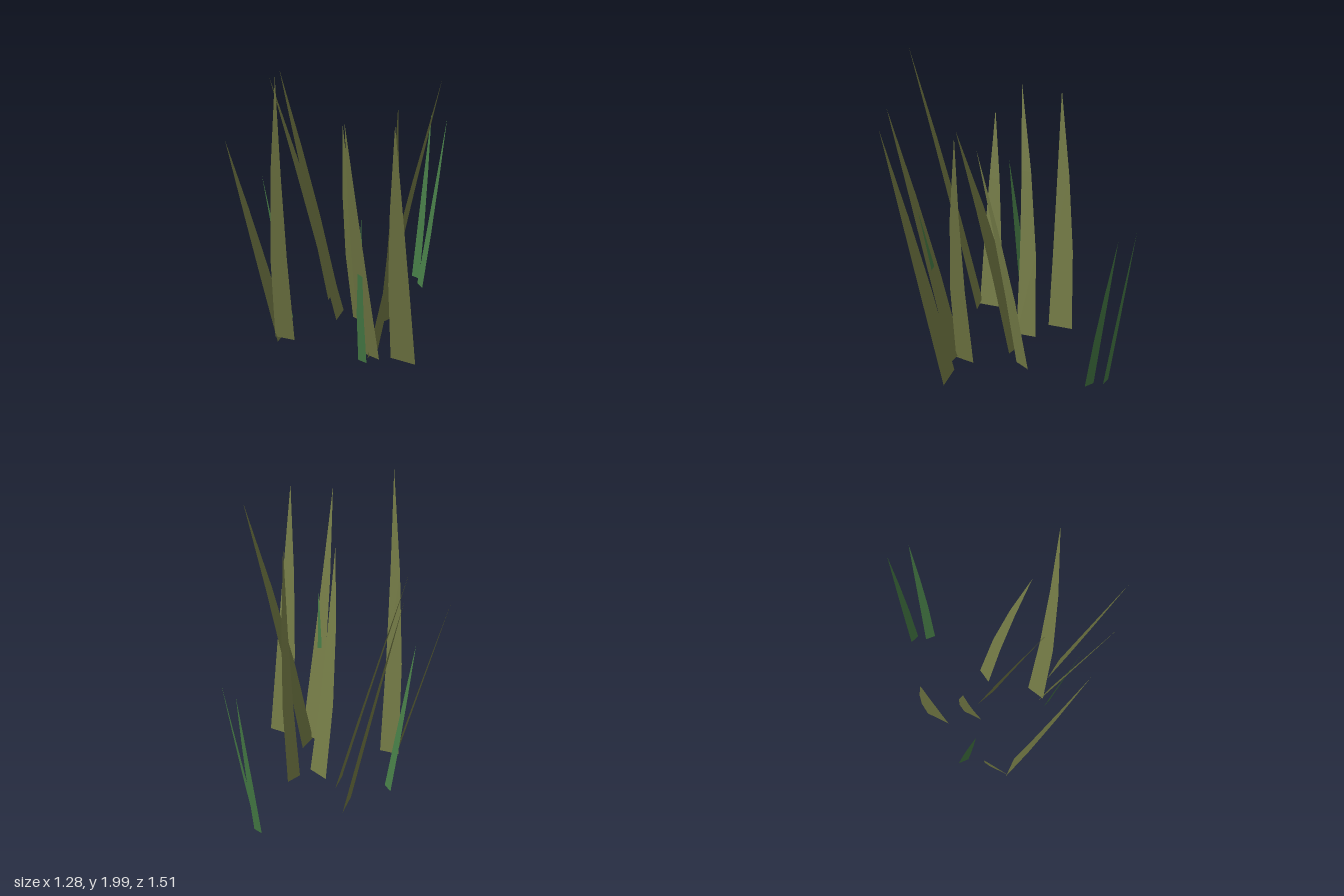
import * as THREE from 'three';

const olive = new THREE.MeshStandardMaterial({ color: 0x737a45, side: THREE.DoubleSide });
const green = new THREE.MeshStandardMaterial({ color: 0x457a45, side: THREE.DoubleSide });

// A thin tapering leaf: two base corners (x, z), base height, and the tip (x, y, z)
function blade(name, material, a, b, baseY, tip) {
  const p = new THREE.Vector3(a[0], baseY, a[1]);
  const q = new THREE.Vector3(b[0], baseY, b[1]);
  const mid = p.clone().add(q).multiplyScalar(0.5);
  const half = q.clone().sub(p).multiplyScalar(0.5);
  const lean = new THREE.Vector3(...tip).sub(mid);
  const sideways = lean.clone().projectOnVector(half);
  const straight = lean.clone().sub(sideways);

  // Cross-sections narrow towards the tip while the centre bends sideways
  const positions = [], index = [];
  const rows = [0, 0.34, 0.66, 1];
  rows.forEach((t, i) => {
    const c = mid.clone().addScaledVector(straight, t).addScaledVector(sideways, t ** 1.6);
    const w = 1 - t ** 1.6;
    if (i === rows.length - 1) {
      positions.push(...c.toArray());
      return;
    }
    positions.push(...c.clone().addScaledVector(half, -w).toArray());
    positions.push(...c.clone().addScaledVector(half, w).toArray());
    const k = i * 2;
    index.push(k, k + 1, k + 2);
    if (i < rows.length - 2) index.push(k + 1, k + 3, k + 2);
  });
  const g = new THREE.BufferGeometry();
  g.setAttribute('position', new THREE.Float32BufferAttribute(positions, 3));
  g.setIndex(index);
  g.computeVertexNormals();
  const mesh = new THREE.Mesh(g, material);
  mesh.name = name;
  return mesh;
}

export function createModel() {
  const group = new THREE.Group();
  group.name = 'grassTuft';

  // Broad olive blades, base corners ordered so the face points along the lean
  const broad = [
    [[-0.345, 0.40], [-0.215, 0.395], 0.04, [-0.135, 1.99, 0.755]],
    [[0.225, 0.355], [0.35, 0.39], 0.03, [0.265, 1.79, 0.755]],
    [[0.41, 0.345], [0.575, 0.36], 0.03, [0.53, 1.79, 0.695]],
    [[0.03, 0.0], [0.16, 0.055], 0.03, [0.11, 1.61, 0.39]],
    [[0.27, 0.38], [0.295, 0.255], 0.015, [0.64, 1.89, 0.21]],
    [[0.21, -0.01], [0.26, -0.10], 0.015, [0.37, 1.66, 0.175]],
    [[-0.06, -0.06], [-0.06, 0.07], 0.025, [-0.45, 1.70, 0.145]],
    [[-0.19, -0.275], [-0.19, -0.115], 0.04, [-0.495, 1.65, -0.10]],
    [[-0.325, 0.265], [-0.325, 0.41], 0.01, [-0.645, 1.36, 0.38]],
  ];
  broad.forEach((d, i) => group.add(blade(`broadBlade${i + 1}`, olive, ...d)));

  // Narrow green blades
  const narrow = [
    [[0.285, -0.60], [0.225, -0.62], 0.03, [0.285, 1.21, -0.76]],
    [[0.34, -0.495], [0.29, -0.54], 0.03, [0.415, 1.22, -0.68]],
    [[-0.40, 0.07], [-0.345, 0.115], 0.0, [-0.478, 1.10, 0.24]],
    [[0.22, 0.41], [0.28, 0.425], 0.01, [0.30, 1.13, 0.58]],
  ];
  narrow.forEach((d, i) => group.add(blade(`narrowBlade${i + 1}`, green, ...d)));

  return group;
}
